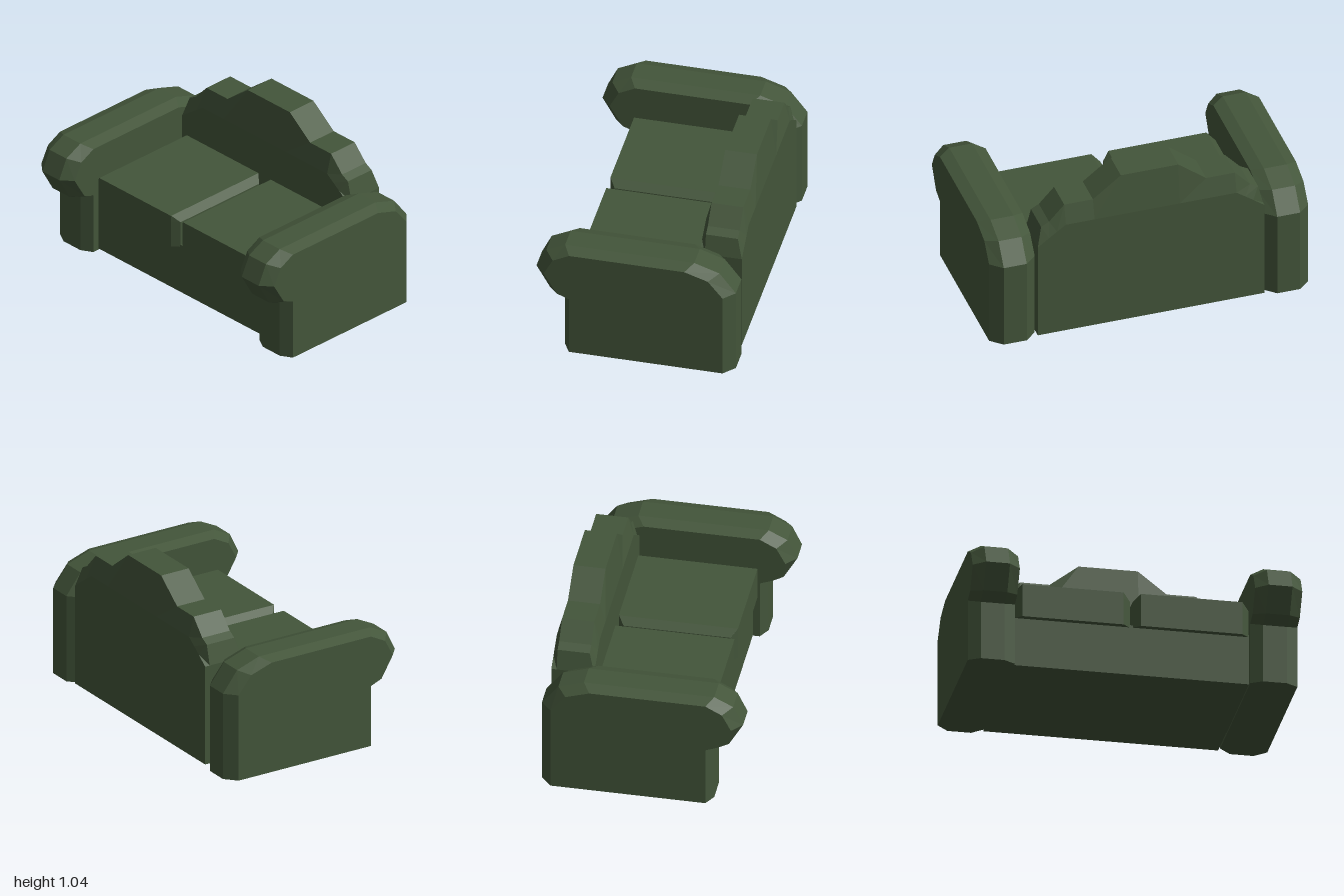
import * as THREE from 'three';

const green = new THREE.MeshStandardMaterial({ color: 0x43553a });
green.name = 'dark green fabric';
green.flatShading = true;

// Skin a stack of matching counter-clockwise rings and cap both ends.
// Each ring is { w, pts: [[a, b], ...] }; place(a, b, w) returns [x, y, z].
function loft(rings, place) {
  const pos = [];
  const tri = (...corners) => corners.forEach(c => pos.push(...c));
  const loops = rings.map(r => r.pts.map(([a, b]) => place(a, b, r.w)));
  const n = loops[0].length;
  for (let k = 0; k + 1 < loops.length; k++) {
    for (let i = 0; i < n; i++) {
      const j = (i + 1) % n, lo = loops[k], hi = loops[k + 1];
      tri(lo[i], lo[j], hi[j]);
      tri(lo[i], hi[j], hi[i]);
    }
  }
  const cap = (k, flip) => {
    const flat = rings[k].pts.map(([a, b]) => new THREE.Vector2(a, b));
    for (const [i, j, m] of THREE.ShapeUtils.triangulateShape(flat, [])) {
      const L = loops[k];
      flip ? tri(L[i], L[m], L[j]) : tri(L[i], L[j], L[m]);
    }
  };
  cap(0, true);
  cap(rings.length - 1, false);
  const geo = new THREE.BufferGeometry();
  geo.setAttribute('position', new THREE.Float32BufferAttribute(pos, 3));
  geo.computeVertexNormals();
  return geo;
}

function part(name, geo, x = 0, y = 0, z = 0) {
  const mesh = new THREE.Mesh(geo, green);
  mesh.name = name;
  mesh.position.set(x, y, z);
  return mesh;
}

// Rolled arm: full outline through the middle, smaller outline on both faces
function armGeometry() {
  const outer = [[-0.435, 0], [0.61, 0], [0.61, 0.555], [0.51, 0.685], [0.355, 0.737],
    [-0.435, 0.737], [-0.55, 0.68], [-0.61, 0.555], [-0.525, 0.405], [-0.435, 0.37]];
  const inner = [[-0.395, 0], [0.545, 0], [0.545, 0.555], [0.455, 0.665], [0.31, 0.712],
    [-0.395, 0.712], [-0.495, 0.66], [-0.55, 0.555], [-0.47, 0.42], [-0.395, 0.39]];
  return loft([
    { w: -0.143, pts: inner }, { w: -0.072, pts: outer },
    { w: 0.072, pts: outer }, { w: 0.143, pts: inner },
  ], (x, y, z) => [x, y, z]);
}

// Stepped backrest: tall crest in the middle, faces sloping in towards it
function backGeometry() {
  const mirror = half => [
    ...half.map(([z, y]) => [y, -z]),
    ...[...half].reverse().map(([z, y]) => [y, z]),
  ];
  const crest = mirror([[0.711, 0.01], [0.711, 0.647], [0.68, 0.77], [0.63, 0.797],
    [0.535, 0.9], [0.355, 0.9], [0.18, 1.036]]);
  const face = mirror([[0.711, 0.01], [0.711, 0.647], [0.64, 0.7], [0.59, 0.736],
    [0.535, 0.775], [0.355, 0.775], [0.18, 0.775]]);
  return loft([
    { w: 0.335, pts: face }, { w: 0.368, pts: crest },
    { w: 0.563, pts: crest }, { w: 0.595, pts: face },
  ].map((r, i) => {
    // the lower body keeps its full depth
    return { ...r, pts: r.pts, i };
  }), (y, z, x) => {
    if (y > 0.1) return [x, y, z];
    return [x < 0.465 ? 0.335 : 0.595, y, z];
  });
}

// Seat cushion: cut vertical corners and sloped top edges at both ends
function cushionGeometry() {
  const x0 = -0.39, x1 = 0.333, h = 0.352, cut = 0.045;
  const plan = (c, end) => [
    [-end, x0 + c], [-h + cut, x0], [h - cut, x0], [end, x0 + c],
    [end, x1 - c], [h - cut, x1], [-h + cut, x1], [-end, x1 - c],
  ];
  const body = plan(0.037, h), top = plan(0.002, h - cut + 0.001);
  // listed along z then x, so the ring runs counter-clockwise in (z, x)
  return loft([{ w: 0.32, pts: body }, { w: 0.49, pts: body }, { w: 0.53, pts: top }],
    (z, x, y) => [x, y, z]);
}

export function createModel() {
  const sofa = new THREE.Group();
  sofa.name = 'sofa';

  // Base under the cushions
  sofa.add(part('seatBase', new THREE.BoxGeometry(0.7, 0.325, 1.44), -0.005, 0.1725, 0));
  sofa.add(part('backrest', backGeometry()));

  // Matching arms and cushions on both sides
  const arm = armGeometry(), cushion = cushionGeometry();
  for (const [side, s] of [['left', 1], ['right', -1]]) {
    sofa.add(part(side + 'Arm', arm, 0, 0, s * 0.857));
    sofa.add(part(side + 'Cushion', cushion, 0, 0, s * 0.3605));
  }
  return sofa;
}
